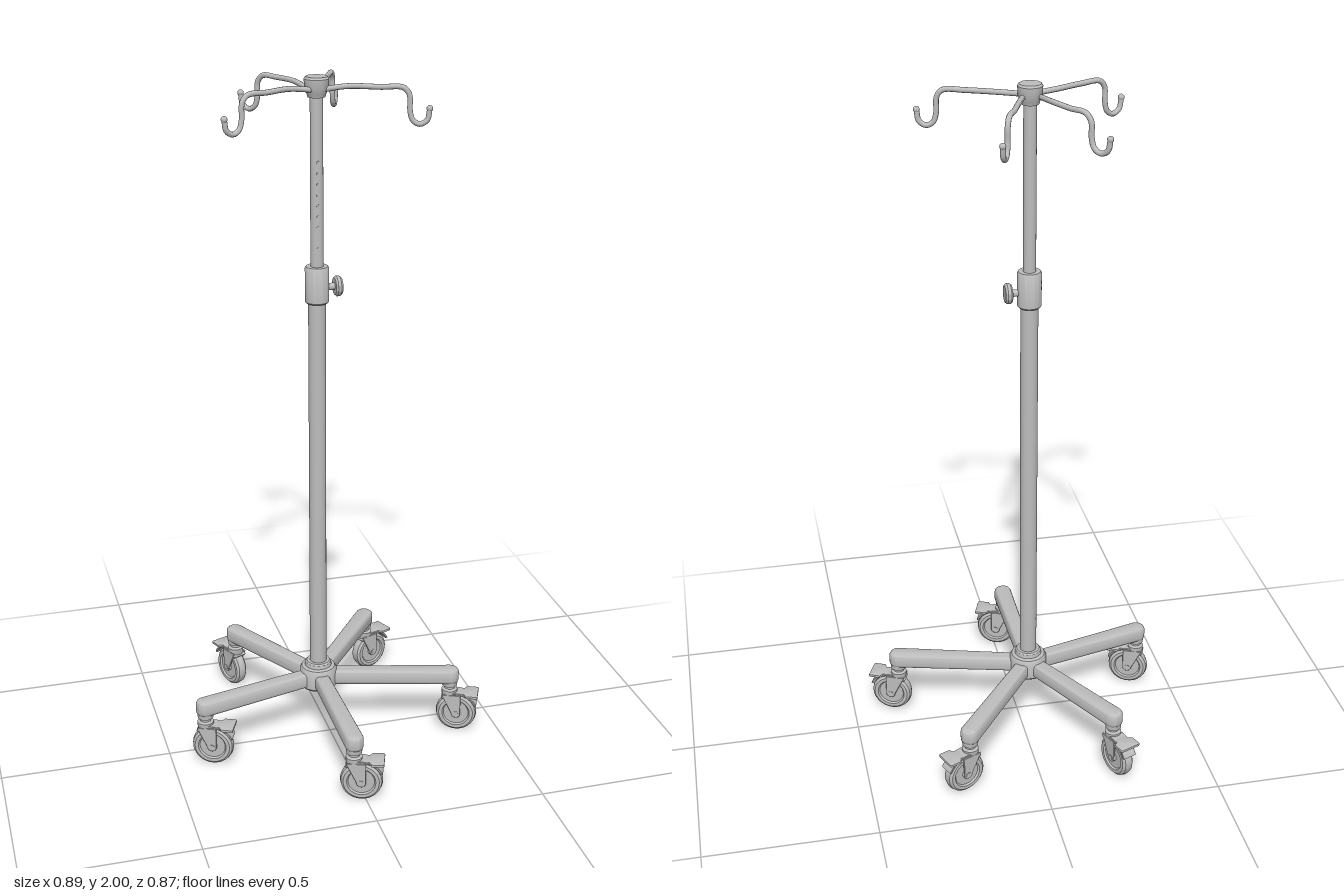
import * as THREE from 'three';
import { toCreasedNormals } from 'three/addons/utils/BufferGeometryUtils.js';

const metal = new THREE.MeshStandardMaterial({ color: 0xbdbdbd });
metal.name = 'light grey';

const POLE = { x: -0.03, z: -0.025 };

function add(parent, name, geometry, x = 0, y = 0, z = 0) {
  const mesh = new THREE.Mesh(geometry, metal);
  mesh.name = name;
  mesh.position.set(x, y, z);
  parent.add(mesh);
  return mesh;
}

// Solid of revolution about y with crisp edges, from [radius, height] pairs
function turned(points, segments = 36) {
  const lathe = new THREE.LatheGeometry(points.map(p => new THREE.Vector2(...p)), segments);
  return toCreasedNormals(lathe, 0.6);
}

// Extruded shape with softened edges
function bevelled(shape, depth, bevel, steps = 3) {
  return toCreasedNormals(new THREE.ExtrudeGeometry(shape, {
    depth: depth - 2 * bevel, bevelEnabled: true, bevelSize: bevel, bevelThickness: bevel,
    bevelOffset: -bevel, bevelSegments: steps, curveSegments: 20,
  }).translate(0, 0, bevel), 0.6);
}

// Tapered arm of the base with a round outer end, along +x
function legGeometry(length) {
  const s = new THREE.Shape();
  s.moveTo(0, -0.022);
  s.lineTo(length, -0.027);
  s.absarc(length, 0, 0.027, -Math.PI / 2, Math.PI / 2, false);
  s.lineTo(0, 0.022);
  s.closePath();
  return bevelled(s, 0.048, 0.013, 4).rotateX(-Math.PI / 2);
}

// Swivel caster: stem at the origin, wheel trailing towards +x
function makeCaster() {
  const g = new THREE.Group();
  g.name = 'caster';
  const cx = 0.022, cy = 0.063;
  add(g, 'swivelStem', turned([[0, 0.118], [0.022, 0.118], [0.024, 0.126], [0.024, 0.138],
    [0.016, 0.142], [0.016, 0.165], [0, 0.165]], 24));

  // Tyre with rounded shoulders and a dished hub on each side
  const wheel = turned([[0, -0.017], [0.012, -0.017], [0.014, -0.013], [0.038, -0.013],
    [0.042, -0.018], [0.052, -0.018], [0.059, -0.012], [0.062, 0], [0.059, 0.012],
    [0.052, 0.018], [0.042, 0.018], [0.038, 0.013], [0.014, 0.013], [0.012, 0.017], [0, 0.017]]);
  add(g, 'wheel', wheel.rotateX(Math.PI / 2), cx, cy, 0);
  add(g, 'axle', new THREE.CylinderGeometry(0.008, 0.008, 0.05, 16).rotateX(Math.PI / 2), cx, cy, 0);

  // Fork cheeks narrowing from the stem to the axle
  const cheek = new THREE.Shape();
  cheek.moveTo(-0.022, 0.125);
  cheek.lineTo(cx - 0.014, cy);
  cheek.absarc(cx, cy, 0.014, Math.PI, Math.PI * 2, false);
  cheek.lineTo(0.036, 0.1);
  cheek.lineTo(0.036, 0.125);
  cheek.closePath();
  for (const side of [-1, 1]) {
    add(g, 'forkCheek', bevelled(cheek, 0.005, 0.001, 1), 0, 0, side * 0.021 - 0.0025);
  }

  // Curved hood over the tyre
  const hood = new THREE.Shape();
  hood.absarc(cx, cy, 0.069, 0.45, 2.3, false);
  hood.absarc(cx, cy, 0.063, 2.3, 0.45, true);
  hood.closePath();
  add(g, 'hood', bevelled(hood, 0.044, 0.001, 1), 0, 0, -0.022);

  // Brake pedal
  const pedal = new THREE.Shape();
  pedal.moveTo(0.02, -0.018);
  pedal.lineTo(0.045, -0.02);
  pedal.lineTo(0.052, -0.033);
  pedal.lineTo(0.082, -0.033);
  pedal.quadraticCurveTo(0.088, -0.033, 0.088, -0.027);
  pedal.lineTo(0.088, 0.027);
  pedal.quadraticCurveTo(0.088, 0.033, 0.082, 0.033);
  pedal.lineTo(0.052, 0.033);
  pedal.lineTo(0.045, 0.02);
  pedal.lineTo(0.02, 0.018);
  pedal.closePath();
  add(g, 'brakePedal', bevelled(pedal, 0.008, 0.002, 2).rotateX(-Math.PI / 2), 0, 0.123, 0);
  return g;
}

// Bent rod: bends are [x, z] plan points, the last being where it turns down
function hookGeometry(bends, tip) {
  const [dx, dz] = bends[bends.length - 1];
  const at = (t, y) => new THREE.Vector3(dx + (tip[0] - dx) * t, y, dz + (tip[1] - dz) * t);
  const points = bends.slice(0, -1).map(([x, z], i) => new THREE.Vector3(x, i ? 1.974 : 1.966, z));
  points.push(at(-0.35, 1.973), at(-0.05, 1.955), at(0, 1.91), at(0.15, 1.886),
    at(0.5, 1.876), at(0.88, 1.887), at(1, 1.918));
  return new THREE.TubeGeometry(new THREE.CatmullRomCurve3(points, false, 'centripetal'), 64, 0.0075, 10);
}

export function createModel() {
  const model = new THREE.Group();
  model.name = 'wheeledHookStand';

  // Five legs: outer end [x, z] and caster heading [x, z]
  const legs = [
    [[-0.03, 0.368], [0.94, 0.34]],
    [[0.358, 0.08], [0.91, 0.41]],
    [[0.21, -0.345], [0.92, -0.39]],
    [[-0.217, -0.35], [-0.38, -0.92]],
    [[-0.4, 0.068], [0.91, 0.41]],
  ];
  for (const [[x, z], [hx, hz]] of legs) {
    const dx = x - POLE.x, dz = z - POLE.z;
    const leg = add(model, 'leg', legGeometry(Math.hypot(dx, dz)), POLE.x, 0.161, POLE.z);
    leg.rotation.y = Math.atan2(-dz, dx);
    add(model, 'legEndBoss', new THREE.CylinderGeometry(0.025, 0.023, 0.03, 24), x, 0.167, z);
    const caster = makeCaster();
    caster.position.set(x, 0, z);
    caster.rotation.y = Math.atan2(-hz, hx);
    model.add(caster);
  }

  // Upright column
  const column = new THREE.Group();
  column.name = 'column';
  column.position.set(POLE.x, 0, POLE.z);
  model.add(column);
  add(column, 'hub', turned([[0, 0.155], [0.05, 0.155], [0.056, 0.162], [0.056, 0.212],
    [0.05, 0.222], [0.04, 0.225], [0.038, 0.236], [0.034, 0.24], [0, 0.24]]));
  add(column, 'lowerPole', new THREE.CylinderGeometry(0.025, 0.025, 1.17, 32), 0, 0.805, 0);
  add(column, 'upperPole', new THREE.CylinderGeometry(0.018, 0.018, 0.53, 32), 0, 1.705, 0);
  add(column, 'collar', turned([[0, 1.372], [0.031, 1.372], [0.034, 1.376], [0.034, 1.472],
    [0.031, 1.477], [0, 1.477]]));
  add(column, 'topCap', turned([[0, 1.945], [0.024, 1.945], [0.027, 1.955], [0.033, 1.968],
    [0.034, 1.994], [0.03, 2], [0, 2]]));

  // Clamping knob on the left of the collar
  const knob = turned([[0, 0], [0.01, 0], [0.01, 0.022], [0.024, 0.022], [0.029, 0.027],
    [0.029, 0.036], [0.024, 0.042], [0, 0.042]], 28).rotateZ(-Math.PI / 2);
  add(column, 'clampKnob', knob, 0.028, 1.415, 0);

  // Height-setting marks up the front of the upper pole
  for (let i = 0; i < 9; i++) {
    add(column, 'heightMark', new THREE.CylinderGeometry(0.005, 0.005, 0.004, 12).rotateX(Math.PI / 2),
      0, 1.53 + i * 0.03, 0.017);
  }

  // Four hooks fanning out of the cap
  const hooks = [
    [[[-0.035, -0.008], [-0.11, 0], [-0.18, 0.035], [-0.255, 0.062]], [-0.305, 0.08]],
    [[[-0.025, -0.008], [0.05, 0], [0.13, 0.035], [0.206, 0.06]], [0.256, 0.076]],
    [[[-0.01, -0.03], [0.018, -0.11], [0.045, -0.18], [0.074, -0.24]], [0.096, -0.288]],
    [[[-0.05, -0.03], [-0.07, -0.12], [-0.1, -0.185], [-0.142, -0.243]], [-0.18, -0.285]],
  ];
  for (const [bends, tip] of hooks) {
    add(model, 'hook', hookGeometry(bends, tip));
    add(model, 'hookTip', new THREE.SphereGeometry(0.009, 14, 10), tip[0], 1.918, tip[1]);
  }
  return model;
}
